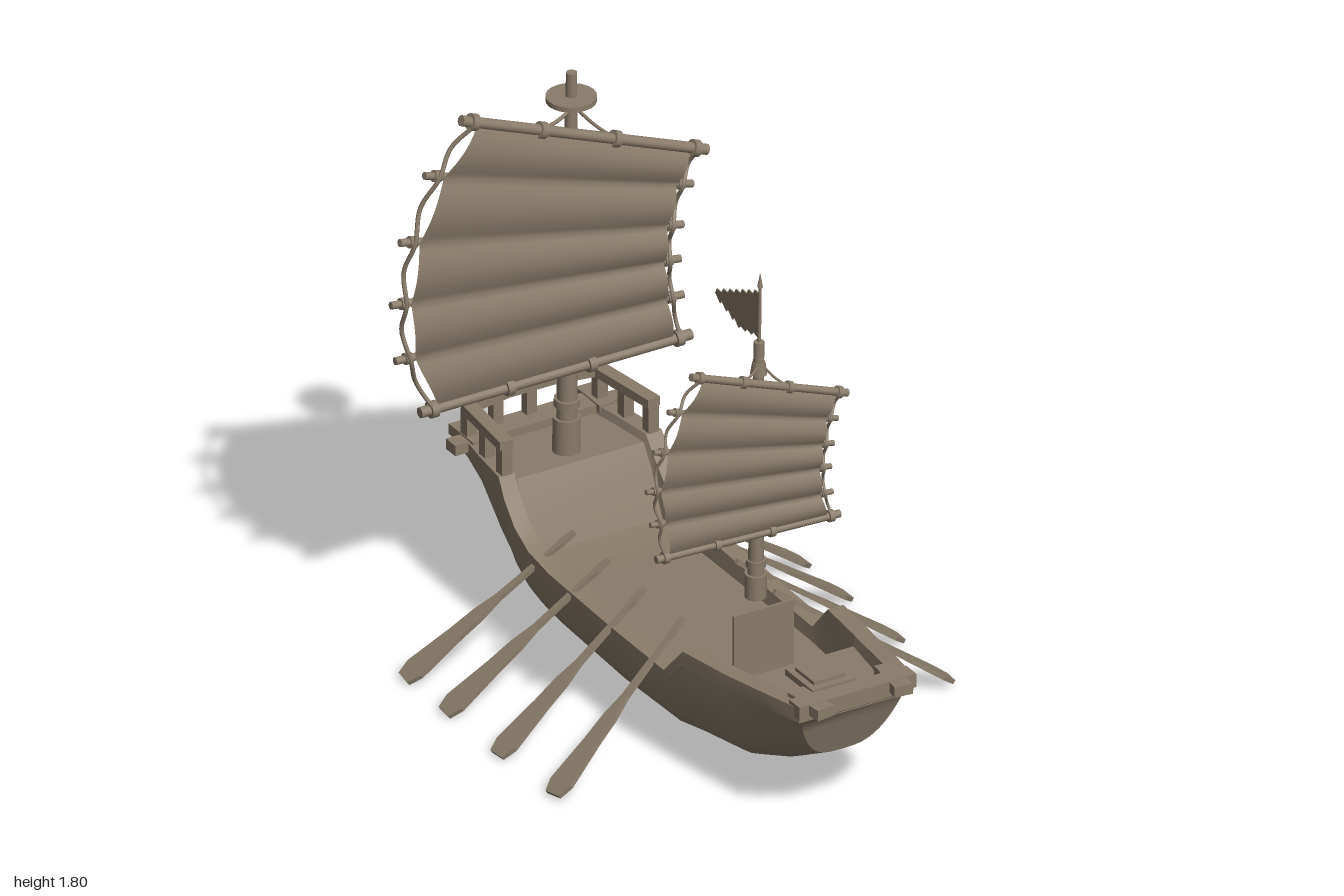
import * as THREE from 'three';
import { toCreasedNormals } from 'three/addons/utils/BufferGeometryUtils.js';

const V = (x, y, z) => new THREE.Vector3(x, y, z);

export function createModel() {
  const root = new THREE.Group();
  const wood = new THREE.MeshStandardMaterial({ color: 0x8a7c6a, side: THREE.DoubleSide });
  wood.name = 'weathered wood';

  const add = (name, geo, parent = root) => {
    const m = new THREE.Mesh(geo, wood);
    m.name = name;
    parent.add(m);
    return m;
  };
  const group = (name) => {
    const g = new THREE.Group();
    g.name = name;
    root.add(g);
    return g;
  };
  const box = (name, w, h, d, x, y, z, parent) => {
    const m = add(name, new THREE.BoxGeometry(w, h, d), parent);
    m.position.set(x, y, z);
    return m;
  };
  // round bar from a to b
  const rod = (name, a, b, ra, rb, parent, sides = 12) => {
    const d = b.clone().sub(a);
    const m = add(name, new THREE.CylinderGeometry(rb, ra, d.length(), sides), parent);
    m.position.copy(a).addScaledVector(d, 0.5);
    m.quaternion.setFromUnitVectors(V(0, 1, 0), d.normalize());
    return m;
  };
  // square bar from a to b
  const beam = (name, a, b, w, h, parent) => {
    const m = add(name, new THREE.BoxGeometry(w, h, a.distanceTo(b)), parent);
    m.position.copy(a).lerp(b, 0.5);
    m.lookAt(b);
    return m;
  };
  const rope = (name, pts, r, parent) =>
    add(name, new THREE.TubeGeometry(new THREE.CatmullRomCurve3(pts), pts.length * 6, r, 6), parent);

  // ---- Hull: [z at rim, z at keel, half width, rim y, keel y, deck y, taper]
  const stations = [
    [0.95, 0.87, 0.195, 0.465, 0.235, 0.41, 0.3],
    [0.80, 0.72, 0.222, 0.455, 0.155, 0.41, 0.16],
    [0.615, 0.59, 0.25, 0.44, 0.108, 0.41, 0.05],
    [0.605, 0.58, 0.252, 0.44, 0.106, 0.28, 0.05],
    [0.41, 0.41, 0.276, 0.43, 0.093, 0.28, 0],
    [0.31, 0.31, 0.282, 0.322, 0.087, 0.28, 0],
    [0, 0, 0.285, 0.328, 0.08, 0.28, 0],
    [-0.35, -0.35, 0.285, 0.34, 0.1, 0.28, 0],
    [-0.47, -0.45, 0.285, 0.36, 0.112, 0.28, 0],
    [-0.55, -0.52, 0.285, 0.405, 0.122, 0.29, 0],
    [-0.61, -0.58, 0.284, 0.47, 0.132, 0.43, 0.02],
    [-0.65, -0.63, 0.28, 0.53, 0.14, 0.505, 0.05],
    [-0.80, -0.71, 0.262, 0.53, 0.15, 0.505, 0.15],
    [-0.94, -0.78, 0.238, 0.53, 0.17, 0.505, 0.3],
  ];
  const half = 10;
  const section = ([zt, zb, w, top, bot, deck, taper]) => {
    const side = [[w + 0.006, top, 0], [w + 0.006, top - 0.05, 0]];
    for (let k = 0; k <= half; k++) {
      const a = (k / half) * Math.PI / 2;
      const f = Math.sin(a) ** 0.62;
      const y = Math.min(top - (top - bot) * f, top - 0.05);
      side.push([w * Math.max(Math.cos(a), 0) ** 0.6 * (1 - taper * f), y, f]);
    }
    const inner = [[-(w - 0.05), top, 0], [-(w - 0.058), deck, 0], [w - 0.058, deck, 0], [w - 0.05, top, 0]];
    const other = side.slice(0, -1).reverse().map(([x, y, f]) => [-x, y, f]);
    return [...side, ...other, ...inner].map(([x, y, f]) => V(x, y, zt + (zb - zt) * f));
  };
  const rows = stations.map(section);
  const pos = [];
  const quad = (a, b, c, d) => [a, b, c, a, c, d].forEach((p) => pos.push(p.x, p.y, p.z));
  const n = rows[0].length;
  for (let i = 0; i < rows.length - 1; i++)
    for (let j = 0; j < n; j++) {
      const k = (j + 1) % n;
      quad(rows[i][j], rows[i][k], rows[i + 1][k], rows[i + 1][j]);
    }
  const last = n - 5; // final point of the outer skin
  const bow = rows[0], stern = rows[rows.length - 1];
  for (let j = 0; j < last / 2; j++) {
    quad(bow[j], bow[last - j], bow[last - j - 1], bow[j + 1]);
    quad(stern[j], stern[j + 1], stern[last - j - 1], stern[last - j]);
  }
  const hull = new THREE.BufferGeometry();
  hull.setAttribute('position', new THREE.Float32BufferAttribute(pos, 3));
  add('hull', toCreasedNormals(hull, 0.55));

  // ---- Bow and stern timbers, hatch, mast screen, rudder
  box('bowBeam', 0.41, 0.045, 0.06, 0, 0.452, 0.93);
  box('sternBeam', 0.6, 0.035, 0.055, 0, 0.515, -0.905);
  for (const s of [-1, 1]) {
    box('bowProng', 0.06, 0.035, 0.15, s * 0.145, 0.455, 0.925).rotation.y = -s * 0.12;
    box('sternProng', 0.055, 0.035, 0.14, s * 0.222, 0.52, -0.93);
  }
  box('hatchFrame', 0.15, 0.022, 0.16, 0, 0.42, 0.74);
  box('hatchLid', 0.11, 0.025, 0.11, 0, 0.43, 0.74);
  box('mastScreen', 0.21, 0.22, 0.008, 0, 0.39, 0.41);
  const rudderShape = new THREE.Shape([[0.73, 0.36], [0.745, 0.1], [0.835, 0.1], [0.855, 0.38]].map(([x, y]) => new THREE.Vector2(x, y)));
  const rudder = new THREE.ExtrudeGeometry(rudderShape, { depth: 0.03, bevelEnabled: false });
  rudder.translate(0, 0, -0.015).rotateY(Math.PI / 2);
  add('rudder', rudder);

  // ---- Stern railing
  const railing = group('sternRailing');
  const corner = (s) => V(s * 0.228, 0.625, -0.925);
  for (const s of [-1, 1]) {
    const front = V(s * 0.258, 0.63, -0.65);
    beam('sideRail', front, corner(s), 0.045, 0.03, railing);
    beam('backRail', corner(s), V(s * 0.08, 0.625, -0.95), 0.04, 0.03, railing);
    for (const t of [0.06, 0.5, 0.97]) {
      const p = front.clone().lerp(corner(s), t);
      box('post', 0.036, 0.11, 0.036, p.x, 0.565, p.z, railing);
    }
    box('post', 0.036, 0.11, 0.03, s * 0.12, 0.565, -0.94, railing);
  }
  box('backRail', 0.17, 0.03, 0.04, 0, 0.625, -0.95, railing);
  box('post', 0.036, 0.11, 0.03, 0, 0.565, -0.945, railing);
  box('railSill', 0.46, 0.03, 0.05, 0, 0.518, -0.94, railing);

  // ---- Masts
  const main = group('mainMast');
  rod('mast', V(0, 0.5, -0.73), V(0, 1.81, -0.7), 0.034, 0.017, main, 16);
  rod('footCollar', V(0, 0.5, -0.731), V(0, 0.62, -0.729), 0.044, 0.042, main, 16);
  rod('ring', V(0, 0.66, -0.728), V(0, 0.685, -0.727), 0.04, 0.04, main, 16);
  rod('lookoutDisc', V(0, 1.713, -0.702), V(0, 1.73, -0.702), 0.078, 0.078, main, 20);
  rod('lookoutCone', V(0, 1.685, -0.702), V(0, 1.713, -0.702), 0.02, 0.045, main, 16);
  const fore = group('foreMast');
  rod('mast', V(0, 0.52, 0.366), V(0, 1.4, 0.386), 0.026, 0.016, fore, 16);
  rod('footCollar', V(0, 0.52, 0.366), V(0, 0.6, 0.367), 0.034, 0.034, fore, 16);
  rod('ring', V(0, 0.625, 0.368), V(0, 0.65, 0.369), 0.031, 0.031, fore, 16);
  rod('topCollar', V(0, 1.29, 0.384), V(0, 1.33, 0.385), 0.026, 0.02, fore, 12);
  rod('flagPole', V(0, 1.38, 0.386), V(0, 1.6, 0.393), 0.006, 0.005, fore, 8);
  rod('poleTip', V(0, 1.59, 0.393), V(0, 1.635, 0.393), 0.009, 0.001, fore, 8);

  // ---- Pennant with saw-tooth edges
  const edge = (a, b, teeth, depth) => {
    const out = [];
    for (let i = 0; i < teeth; i++)
      for (const [t, o] of [[i / teeth, 0], [(i + 0.75) / teeth, depth]])
        out.push(new THREE.Vector2(a[0] + (b[0] - a[0]) * t, a[1] + (b[1] - a[1]) * t + o));
    return out;
  };
  const flagShape = new THREE.Shape([
    ...edge([0, 1.565], [0.255, 1.45], 7, 0.014),
    ...edge([0.255, 1.45], [0.11, 1.405], 4, -0.015),
    ...edge([0.11, 1.405], [0, 1.425], 3, -0.012),
  ]);
  const flag = new THREE.ExtrudeGeometry(flagShape, { depth: 0.004, bevelEnabled: false });
  flag.translate(0, 0, -0.002).rotateY(Math.PI / 2).translate(0, 0, 0.39);
  add('pennant', flag, fore);

  // ---- Battened sails: left and right edge points from foot to head
  const buildSail = (name, left, right, z, k) => {
    const g = group(name);
    const L = left.map(([x, y]) => V(x, y, z)), R = right.map(([x, y]) => V(x, y, z));
    const lc = new THREE.CatmullRomCurve3(L), rc = new THREE.CatmullRomCurve3(R);
    const cloth = new THREE.PlaneGeometry(1, 1, 16, 50);
    const p = cloth.attributes.position;
    for (let i = 0; i < p.count; i++) {
      const u = p.getX(i) + 0.5, v = p.getY(i) + 0.5;
      const q = lc.getPoint(v).lerp(rc.getPoint(v), u);
      p.setXYZ(i, q.x, q.y, z + 0.022 * k * Math.abs(Math.sin(v * 5 * Math.PI)));
    }
    cloth.computeVertexNormals();
    add('cloth', cloth, g);

    const ends = [[], []];
    L.forEach((a, i) => {
      const b = R[i], d = b.clone().sub(a).normalize();
      const yard = i === 0 || i === 5;
      const r = (yard ? 0.017 : 0.012) * k;
      const back = V(0, 0, yard ? 0 : -0.012 * k);
      const over = 0.065 * k;
      rod(yard ? 'yard' : 'batten', a.clone().addScaledVector(d, -over).add(back),
        b.clone().addScaledVector(d, over).add(back), r, r, g);
      // lashings at the ends, plus two along each yard
      const spots = [[a, -0.02 * k], [b, 0.02 * k]];
      if (yard) for (const t of [0.3, 0.65]) spots.push([a.clone().lerp(b, t), 0]);
      spots.forEach(([c, o], j) => {
        const m = c.clone().addScaledVector(d, o).add(back);
        rod('lashing', m.clone().addScaledVector(d, -0.012 * k), m.clone().addScaledVector(d, 0.012 * k), r * 1.55, r * 1.55, g);
        if (j < 2) ends[j].push(m);
      });
    });
    // bolt ropes sagging between the battens
    ends.forEach((e, s) => {
      const pts = [];
      e.forEach((m, i) => {
        pts.push(m.clone().add(V(0, 0, 0.018 * k)));
        if (i < 5) pts.push(m.clone().lerp(e[i + 1], 0.5).add(V((s ? 1 : -1) * 0.008 * k, 0, -0.01 * k)));
      });
      rope('edgeRope', pts, 0.007 * k, g);
    });
    // control lines behind the battens
    for (const [t0, t1] of [[0.3, 0.16], [0.68, 0.84]]) {
      const pts = [5, 4, 3, 2, 1, 0].map((i) =>
        L[i].clone().lerp(R[i], t0 + (t1 - t0) * Math.sin((5 - i) / 5 * Math.PI / 2)).add(V(0, 0, -0.028 * k)));
      rope('controlLine', pts, 0.005 * k, g);
    }
    // halyards from the mast to the yard
    return (top) => [0.3, 0.65].forEach((t) => {
      const e = L[5].clone().lerp(R[5], t);
      rope('halyard', [top, top.clone().lerp(e, 0.5).add(V(0, -0.008, 0)), e], 0.006 * k, g);
    });
  };
  buildSail('mainSail',
    [[-0.49, 0.82], [-0.57, 1.01], [-0.585, 1.2], [-0.555, 1.4], [-0.47, 1.6], [-0.35, 1.755]],
    [[0.33, 0.82], [0.31, 0.96], [0.3, 1.09], [0.31, 1.21], [0.345, 1.345], [0.39, 1.46]],
    -0.662, 1)(V(0, 1.7, -0.685));
  buildSail('foreSail',
    [[-0.33, 0.77], [-0.345, 0.885], [-0.36, 1.0], [-0.335, 1.125], [-0.285, 1.245], [-0.21, 1.345]],
    [[0.22, 0.75], [0.2, 0.83], [0.195, 0.92], [0.205, 1.0], [0.22, 1.085], [0.25, 1.17]],
    0.412, 0.72)(V(0, 1.33, 0.395));

  // ---- Oars: [handle z, blade tip z]
  const outline = [[0, 0.008], [0.05, 0.012], [0.08, 0.008], [0.3, 0.012], [0.38, 0.026], [0.47, 0.03], [0.63, 0.046], [0.675, 0.03]];
  const oarShape = new THREE.Shape([...outline.map(([x, y]) => new THREE.Vector2(x, -y)),
    ...outline.slice().reverse().map(([x, y]) => new THREE.Vector2(x, y))]);
  for (const s of [-1, 1])
    for (const [z0, z1] of [[0.21, 0.345], [-0.01, 0.035], [-0.22, -0.27], [-0.42, -0.51]]) {
      const geo = new THREE.ExtrudeGeometry(oarShape, { depth: 0.014, bevelEnabled: false });
      geo.translate(0, 0, -0.007);
      const start = V(s * 0.16, 0.415, z0);
      const d = V(s * 0.7, 0.025, z1).sub(start).normalize();
      const w = V(0, 0, 1).addScaledVector(d, -d.z).normalize();
      const m = new THREE.Matrix4().makeBasis(d, w, d.clone().cross(w)).setPosition(start);
      add('oar', geo.applyMatrix4(m));
    }
  return root;
}
